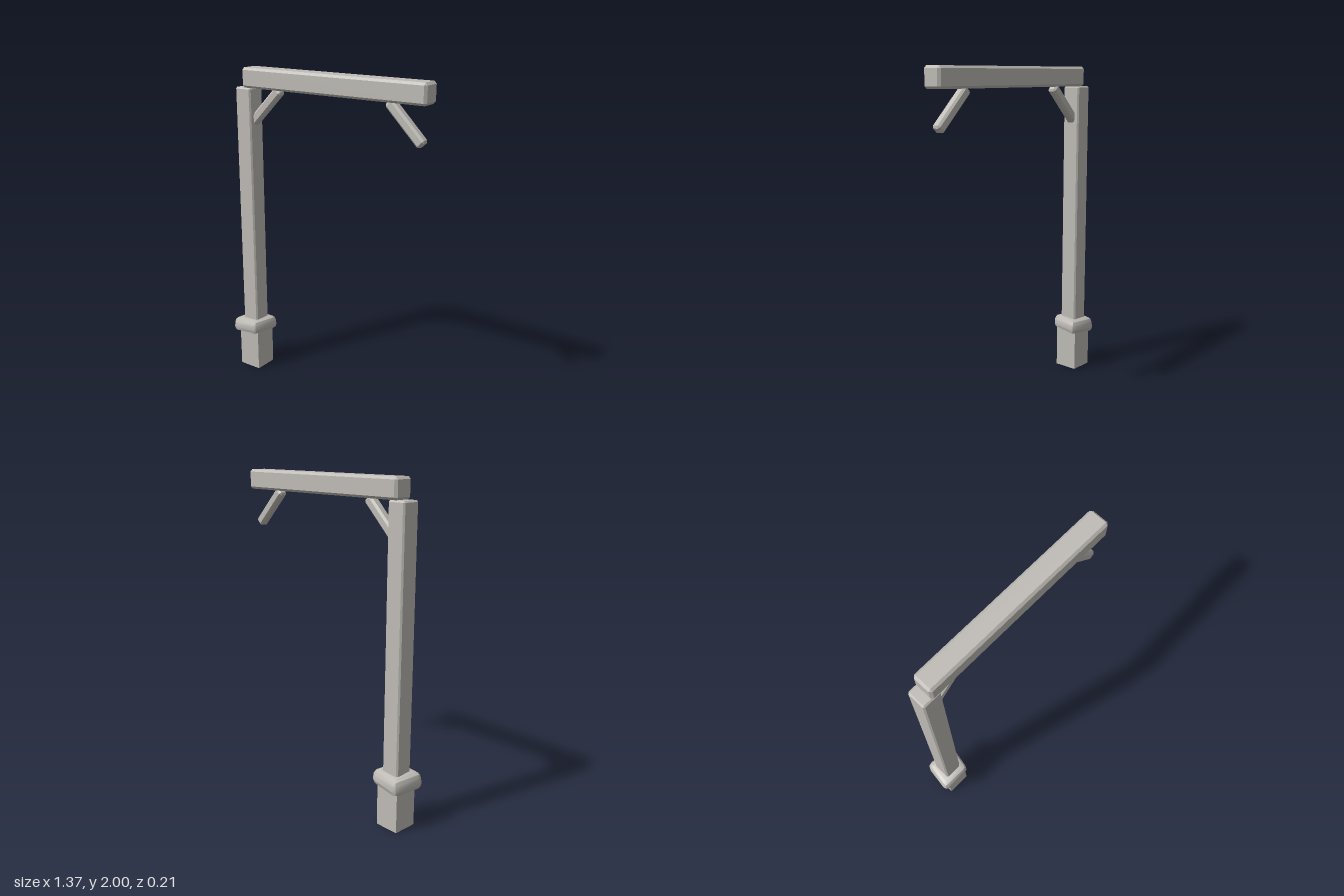
import * as THREE from 'three';
import { toCreasedNormals } from 'three/addons/utils/BufferGeometryUtils.js';
import { RoundedBoxGeometry } from 'three/addons/geometries/RoundedBoxGeometry.js';
import { ConvexGeometry } from 'three/addons/geometries/ConvexGeometry.js';

// Box with a flat chamfer of size b along every edge
function chamferBox(w, h, d, b) {
  const points = [];
  for (const x of [-w / 2, w / 2])
    for (const y of [-h / 2, h / 2])
      for (const z of [-d / 2, d / 2])
        for (let axis = 0; axis < 3; axis++) {
          const p = new THREE.Vector3(x, y, z);
          for (let i = 0; i < 3; i++)
            if (i !== axis) p.setComponent(i, p.getComponent(i) - Math.sign(p.getComponent(i)) * b);
          points.push(p);
        }
  return new ConvexGeometry(points);
}

// Uneven bevelled block: a bevelled footprint warped onto four skewed corners
function collarGeometry() {
  const w = 0.22, h = 0.098, d = 0.2;
  const backLeft = [-0.093, -0.112], backRight = [0.12, -0.09];
  const frontLeft = [-0.124, 0.102], frontRight = [0.082, 0.108];
  const geo = new RoundedBoxGeometry(w, h, d, 1, 0.032);
  const pos = geo.attributes.position;
  for (let i = 0; i < pos.count; i++) {
    const u = pos.getX(i) / w + 0.5, v = pos.getZ(i) / d + 0.5, t = pos.getY(i) / h + 0.5;
    const mix = (k) => THREE.MathUtils.lerp(
      THREE.MathUtils.lerp(backLeft[k], backRight[k], u),
      THREE.MathUtils.lerp(frontLeft[k], frontRight[k], u), v);
    const taper = 1 - 0.06 * t * t;
    const y = pos.getY(i) + (u - 0.5) * (0.025 - 0.013 * t) + (v - 0.5) * 0.008;
    pos.setXYZ(i, mix(0) * taper, y, mix(1) * taper);
  }
  return toCreasedNormals(geo, 0.45);
}

export function createModel() {
  const model = new THREE.Group();
  model.name = 'lampPost';
  const material = (name, color) => {
    const m = new THREE.MeshStandardMaterial({ color });
    m.name = name;
    return m;
  };
  const stone = material('warm grey', 0xbfbcb6);
  const shade = material('dark grey', 0x5e5c59);

  const add = (name, geometry, x, y, mat = stone) => {
    const mesh = new THREE.Mesh(geometry, mat);
    mesh.name = name;
    mesh.position.set(x, y, 0);
    model.add(mesh);
    return mesh;
  };

  const postX = -0.565, beamX = 0.058;

  // Upright; the base has a dark underside
  add('base', new THREE.BoxGeometry(0.152, 0.29, 0.152), postX, 0.145,
    [stone, stone, stone, shade, stone, stone]);
  add('collar', collarGeometry(), postX, 0.294);
  add('post', chamferBox(0.116, 1.58, 0.116, 0.009), postX + 0.001, 1.09);

  // Overhead arm
  add('beam', chamferBox(1.25, 0.12, 0.124, 0.014), beamX, 1.94);

  // Diagonal braces, mirrored about the middle of the beam
  for (const side of [-1, 1]) {
    const brace = add(side < 0 ? 'postBrace' : 'endBrace',
      chamferBox(0.058, 0.302, 0.058, 0.012), beamX + side * 0.482, 1.772);
    brace.rotation.z = side * Math.PI / 4;
  }
  return model;
}
